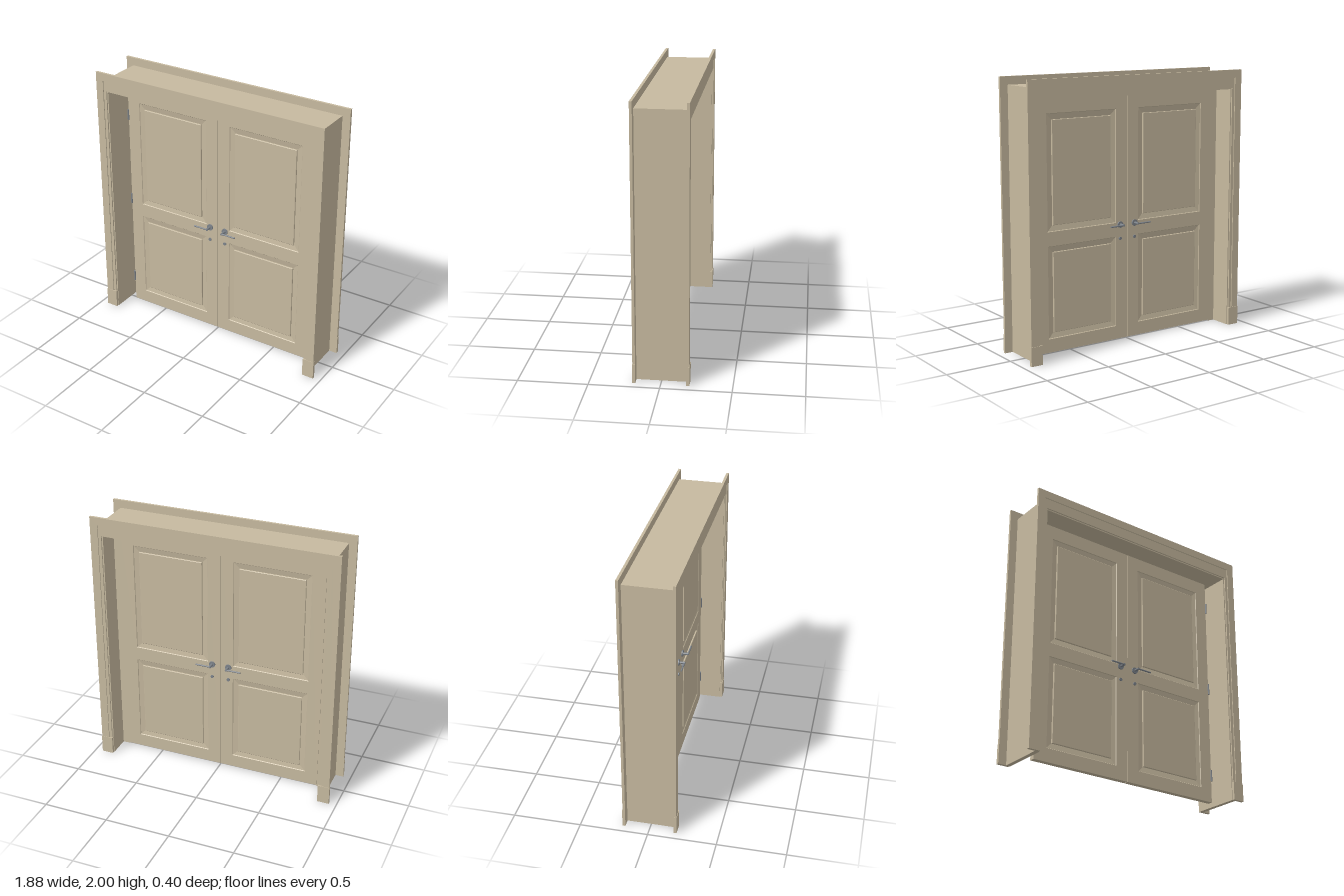
import * as THREE from 'three';

const wood = new THREE.MeshStandardMaterial({ color: 0xc6b99f });
const metal = new THREE.MeshStandardMaterial({ color: 0x7d838a });

const DOOR_Z = 0.02;                       // half thickness of a leaf
const PANELS = [[0.10, 0.90, 0.69, 1.745], [0.10, 0.11, 0.69, 0.795]];

function add(parent, name, geometry, material, x = 0, y = 0, z = 0) {
  const mesh = new THREE.Mesh(geometry, material);
  mesh.name = name;
  mesh.position.set(x, y, z);
  parent.add(mesh);
  return mesh;
}

function extrude(shape, depth) {
  return new THREE.ExtrudeGeometry(shape, { depth, bevelEnabled: false });
}

// Upside-down U, standing on y = 0
function portal(outX, outY, inX, inY, depth) {
  const pts = [[-outX, 0], [-inX, 0], [-inX, inY], [inX, inY], [inX, 0], [outX, 0], [outX, outY], [-outX, outY]];
  return extrude(new THREE.Shape(pts.map(p => new THREE.Vector2(...p))), depth);
}

function rect(Type, x0, y0, x1, y1) {
  return new Type([[x0, y0], [x1, y0], [x1, y1], [x0, y1]].map(p => new THREE.Vector2(...p)));
}

// Raised panel: rectangular rings [inset, z] joined in steps, closed by a flat field
function panelGeometry([x0, y0, x1, y1], rings) {
  const loops = rings.map(([i, z]) => [
    [x0 + i, y0 + i, z], [x1 - i, y0 + i, z], [x1 - i, y1 - i, z], [x0 + i, y1 - i, z]]);
  const pos = [];
  const quad = (a, b, c, d) => pos.push(...a, ...b, ...c, ...a, ...c, ...d);
  for (let r = 0; r < loops.length - 1; r++) {
    for (let k = 0; k < 4; k++) {
      const n = (k + 1) % 4;
      quad(loops[r][k], loops[r][n], loops[r + 1][n], loops[r + 1][k]);
    }
  }
  quad(...loops[loops.length - 1]);
  const g = new THREE.BufferGeometry();
  g.setAttribute('position', new THREE.Float32BufferAttribute(pos, 3));
  g.computeVertexNormals();
  return g;
}

// Disc or rod along z
function rod(r, length, sides = 24) {
  return new THREE.CylinderGeometry(r, r, length, sides).rotateX(Math.PI / 2);
}

// Lever handle and keyhole rose for one leaf; s is the side
function handle(s) {
  const g = new THREE.Group();
  g.name = 'handle';
  const x = s * 0.065, y = 0.885;
  add(g, 'rose', rod(0.024, 0.01), metal, x, y, DOOR_Z + 0.005);
  add(g, 'spindle', rod(0.009, 0.045, 16), metal, x, y, DOOR_Z + 0.03);
  const lever = new THREE.CylinderGeometry(0.006, 0.006, 0.12, 16).rotateZ(Math.PI / 2);
  add(g, 'lever', lever, metal, x + s * 0.054, y, DOOR_Z + 0.048);
  add(g, 'keyRose', rod(0.012, 0.008), metal, x, 0.78, DOOR_Z + 0.004);
  return g;
}

export function createModel() {
  const model = new THREE.Group();
  model.name = 'doubleDoor';

  // Deep lining of the opening
  add(model, 'jamb', portal(0.88, 1.94, 0.848, 1.853, 0.36), wood, 0, 0, -0.18);

  // Stepped casing, plinth blocks, panels and handles, the same on both faces
  for (const [name, turn] of [['front', 0], ['back', Math.PI]]) {
    const face = new THREE.Group();
    face.name = name + 'Face';
    face.rotation.y = turn;
    add(face, 'casing', portal(0.94, 2, 0.857, 1.862, 0.012), wood, 0, 0, 0.178);
    add(face, 'casingBand', portal(0.94, 2, 0.88, 1.94, 0.007), wood, 0, 0, 0.19);
    for (const s of [-1, 1]) {
      add(face, 'plinthBlock', new THREE.BoxGeometry(0.09, 0.14, 0.022), wood, s * 0.897, 0.07, 0.189);
      for (const [x0, y0, x1, y1] of PANELS) {
        const box = s > 0 ? [x0, y0, x1, y1] : [-x1, y0, -x0, y1];
        const rings = [[0, DOOR_Z], [0.004, DOOR_Z - 0.005], [0.045, DOOR_Z - 0.012],
          [0.045, DOOR_Z - 0.002], [0.048, DOOR_Z]];
        add(face, 'panel', panelGeometry(box, rings), wood);
      }
      face.add(handle(s));
    }
    model.add(face);
  }

  for (const s of [-1, 1]) {
    // Leaf: stiles and rails around the panel openings
    const leaf = new THREE.Group();
    leaf.name = s > 0 ? 'leftLeaf' : 'rightLeaf';
    const span = (a, b) => (s > 0 ? [a, b] : [-b, -a]);
    const [l, r] = span(0.002, 0.79);
    const shape = rect(THREE.Shape, l, 0.01, r, 1.85);
    for (const [x0, y0, x1, y1] of PANELS) {
      const [a, b] = span(x0, x1);
      shape.holes.push(rect(THREE.Path, a, y0, b, y1));
    }
    add(leaf, 'stilesAndRails', extrude(shape, DOOR_Z * 2), wood, 0, 0, -DOOR_Z);

    // Hinges on the outer edge
    for (const y of [0.22, 0.925, 1.63]) {
      const knuckle = new THREE.CylinderGeometry(0.007, 0.007, 0.085, 12);
      add(leaf, 'hinge', knuckle, metal, s * 0.793, y, DOOR_Z);
    }
    model.add(leaf);

    // Stop closing the joint between leaf and jamb, seen from the back only
    const stop = new THREE.PlaneGeometry(0.06, 1.853).rotateY(Math.PI);
    add(model, 'doorStop', stop, wood, s * 0.819, 0.9265, -0.015);
  }
  return model;
}
